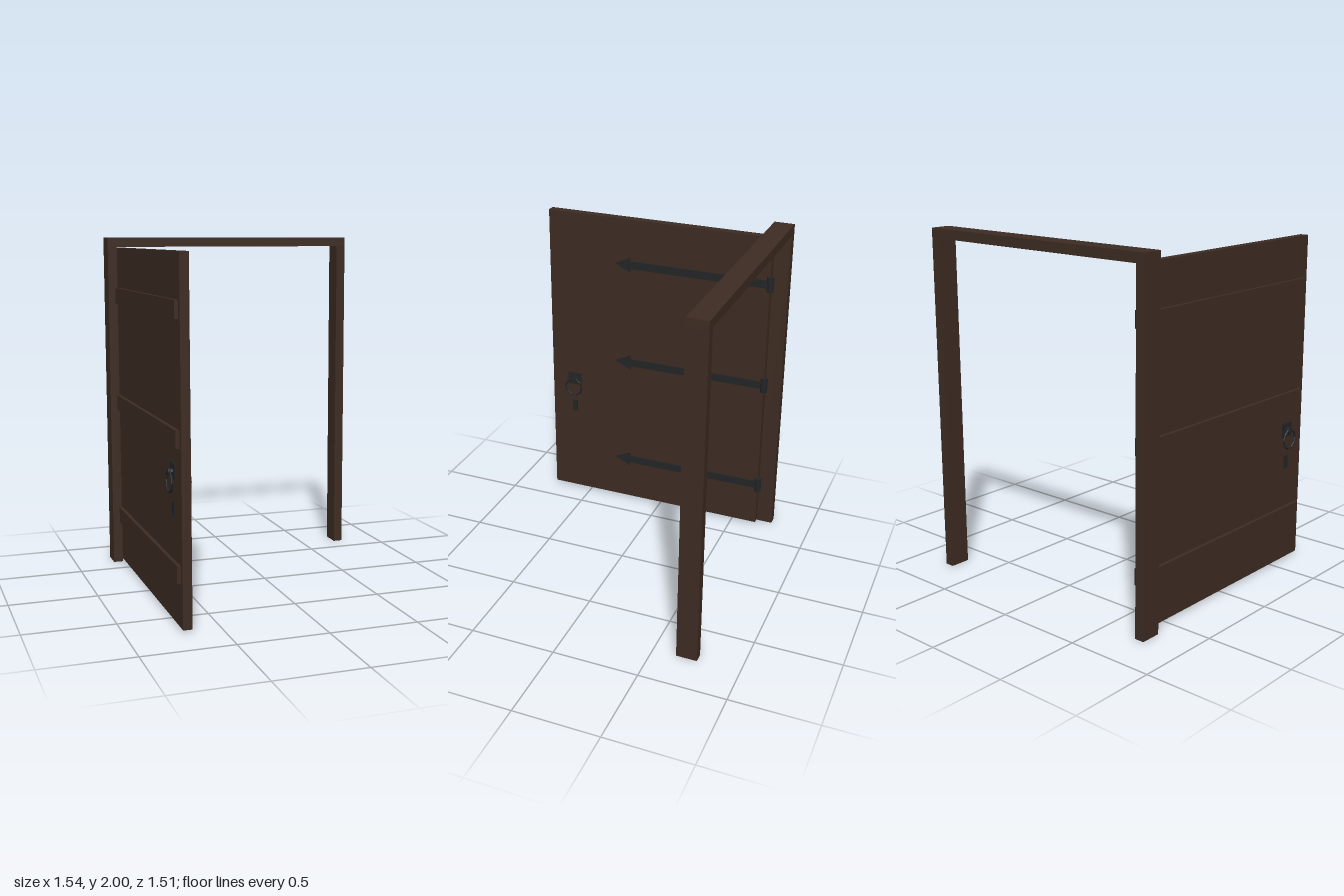
import * as THREE from 'three';

export function createModel() {
  const model = new THREE.Group();
  model.name = 'openDoor';
  const wood = new THREE.MeshStandardMaterial({ name: 'darkWood', color: 0x3d2c22, flatShading: true });
  const iron = new THREE.MeshStandardMaterial({ name: 'blackIron', color: 0x222426, flatShading: true });

  function add(name, geometry, material, x, y, z) {
    const mesh = new THREE.Mesh(geometry, material);
    mesh.name = name;
    mesh.position.set(x, y, z);
    model.add(mesh);
    return mesh;
  }
  // box given by its two corners
  function box(name, material, x0, x1, y0, y1, z0, z1) {
    return add(name, new THREE.BoxGeometry(x1 - x0, y1 - y0, z1 - z0), material,
      (x0 + x1) / 2, (y0 + y1) / 2, (z0 + z1) / 2);
  }
  // short cylinder lying along x
  function stud(name, r, length, x, y, z, sides = 8) {
    const geometry = new THREE.CylinderGeometry(r, r, length, sides).rotateZ(Math.PI / 2);
    return add(name, geometry, iron, x, y, z);
  }

  // frame
  box('lintel', wood, -0.77, 0.77, 1.945, 2, -0.755, -0.635);
  box('rightPost', wood, -0.77, -0.715, 0, 1.945, -0.755, -0.635);
  box('leftPost', wood, 0.715, 0.77, 0, 1.945, -0.755, -0.635);

  // door leaf, swung open towards the front
  const outer = -0.71, inner = -0.66;
  box('doorLeaf', wood, outer, inner, 0.015, 1.94, -0.66, 0.755);

  // arrow-shaped strap end, pointing to +z
  const arrow = new THREE.Shape([
    new THREE.Vector2(-0.215, -0.048),
    new THREE.Vector2(-0.215, 0.048),
    new THREE.Vector2(-0.315, 0),
  ]);
  const arrowGeometry = new THREE.ExtrudeGeometry(arrow, { depth: 0.007, bevelEnabled: false })
    .rotateY(Math.PI / 2);

  // battens outside, strap hinges inside
  for (const y of [0.3, 1.003, 1.655]) {
    box('batten', wood, -0.73, outer, y - 0.047, y + 0.047, -0.63, 0.722);
    box('hingeStrap', iron, inner, -0.65, y - 0.024, y + 0.024, -0.66, 0.215);
    add('strapPoint', arrowGeometry, iron, inner, y, 0);
    add('hingeKnuckle', new THREE.CylinderGeometry(0.022, 0.022, 0.092, 8), iron, inner, y, -0.662);
    for (const z of [-0.527, -0.208, 0.11]) stud('rivet', 0.013, 0.014, -0.648, y, z);
  }

  // ring handle and keyhole plate on both faces
  for (const [face, side] of [[inner, 1], [outer, -1]]) {
    const at = (d) => face + side * d;
    add('handlePlate', new THREE.BoxGeometry(0.008, 0.082, 0.088), iron, at(0.003), 0.82, 0.603);
    stud('handleBoss', 0.018, 0.032, at(0.016), 0.818, 0.603);
    const ring = new THREE.TorusGeometry(0.057, 0.006, 6, 10).rotateY(Math.PI / 2);
    add('handleRing', ring, iron, at(0.024), 0.767, 0.603);
    add('keyholePlate', new THREE.BoxGeometry(0.008, 0.076, 0.034), iron, at(0.002), 0.624, 0.604);
  }

  return model;
}
